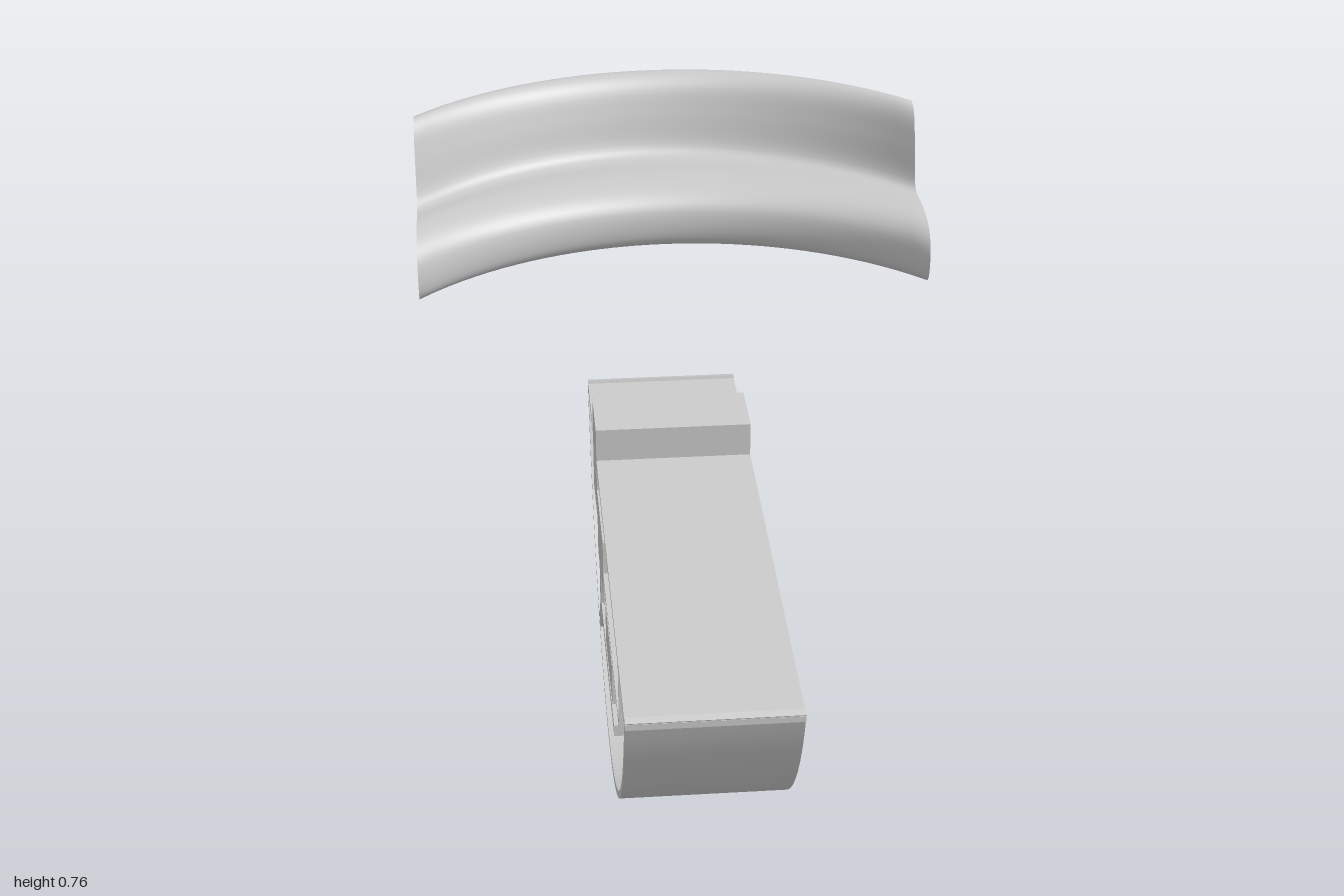
import * as THREE from 'three';
import { toCreasedNormals } from 'three/addons/utils/BufferGeometryUtils.js';

const material = new THREE.MeshStandardMaterial({ color: 0xcccccc, side: THREE.DoubleSide });
const LEFT = 0.09, WIDTH = 0.287;

// Extrudes a [z, y] outline across the width of the pod.
function slab(name, points) {
  const shape = new THREE.Shape(points.map(([z, y]) => new THREE.Vector2(z, y)));
  const extruded = new THREE.ExtrudeGeometry(shape, { depth: WIDTH, bevelEnabled: false });
  extruded.rotateY(-Math.PI / 2).translate(LEFT, 0, 0);
  const mesh = new THREE.Mesh(toCreasedNormals(extruded, 0.6), material);
  mesh.name = name;
  return mesh;
}

const block = (name, z0, z1, y0, y1) => slab(name, [[z0, y0], [z1, y0], [z1, y1], [z0, y1]]);

// Points on a circular arc in the z-y plane, angles measured from straight down.
function arc(cz, cy, r, a0, a1, n) {
  return Array.from({ length: n + 1 }, (_, i) => {
    const a = a0 + (a1 - a0) * i / n;
    return [cz + r * Math.sin(a), cy - r * Math.cos(a)];
  });
}

// Half-round pod, open at both sides, with its fittings
function createPod() {
  const pod = new THREE.Group();
  pod.name = 'pod';
  const R = 0.606, cz = 0.42, cy = 0.611, end = 1.276;
  pod.add(
    slab('shell', [...arc(cz, cy, R, -end, end, 32), ...arc(cz, cy, R - 0.013, end, -end, 32)]),
    block('topPlate', -0.16, 1, 0.422, 0.433),
    block('upperBlock', 0.035, 0.16, 0.31, 0.497),
    block('middleBlock', 0.16, 0.35, 0.238, 0.37),
    block('smallBlock', 0.41, 0.61, 0.2, 0.282),
    block('compartmentFloor', 0.33, 0.822, 0.297, 0.305),
    block('compartmentEnd', 0.814, 0.822, 0.297, 0.428),
    block('shelf', 0.23, 0.65, 0.16, 0.182),
    slab('elbow', [[0.255, 0.24], [0.255, 0.17], [0.245, 0.135], [0.225, 0.108], [0.175, 0.075],
      [0.15, 0.095], [0.185, 0.125], [0.205, 0.16], [0.207, 0.24]])
  );

  // Balls lining the shell and the compartment
  const ball = new THREE.SphereGeometry(0.049, 24, 16);
  const spots = [[0.9, 0.35], [0.725, 0.37], [0.585, 0.37], [0.44, 0.365], [0.835, 0.245], [0.725, 0.175],
    [0.575, 0.105], [0.44, 0.095], [0.305, 0.1], [0.14, 0.175], [0.035, 0.245], [-0.035, 0.36]];
  for (const [z, y] of spots) {
    const mesh = new THREE.Mesh(ball, material);
    mesh.name = 'ball';
    mesh.position.set(0, y, z);
    pod.add(mesh);
  }
  return pod;
}

// Curved bench: one seat-and-back profile carried along a bowed line, rounded at its ends
function createBench() {
  const profile = [[-0.465, 0.476], [-0.442, 0.5], [-0.442, 0.565], [-0.475, 0.595], [-0.55, 0.606],
    [-0.635, 0.604], [-0.655, 0.62], [-0.675, 0.69], [-0.695, 0.745], [-0.72, 0.765], [-0.75, 0.763],
    [-0.768, 0.74], [-0.775, 0.65], [-0.767, 0.55], [-0.745, 0.485], [-0.715, 0.47], [-0.6, 0.47]];
  const curve = new THREE.CatmullRomCurve3(profile.map(([z, y]) => new THREE.Vector3(0, y, z)), true);
  const ring = curve.getPoints(80).slice(0, -1);
  const center = new THREE.Vector3(0, 0.56, -0.7);

  // Stations across the bench: position and scale of the profile
  const stations = [[-0.5, 0.9], [-0.512, 0.95], [-0.522, 0.985], [-0.526, 1]].map(([x, s]) => [x, s]);
  for (let i = 1; i < 36; i++) stations.push([-0.526 + 1.052 * i / 36, 1]);
  for (const [x, s] of stations.slice(0, 4).reverse()) stations.push([-x, s]);

  const bow = x => 0.726 - Math.sqrt(0.726 ** 2 - x * x) - 0.225;
  const position = [], index = [], n = ring.length, last = stations.length - 1;
  stations.forEach(([x, s], i) => {
    for (const p of ring) {
      const q = p.clone().sub(center).multiplyScalar(s).add(center);
      position.push(x, q.y, q.z + bow(x));
    }
    if (i === last) return;
    for (let j = 0; j < n; j++) {
      const a = i * n + j, b = i * n + (j + 1) % n;
      index.push(a, a + n, b, b, a + n, b + n);
    }
  });

  // End caps
  const cap = position.length / 3;
  for (const x of [stations[0][0], stations[last][0]]) position.push(x, center.y, center.z + bow(x));
  for (let j = 0; j < n; j++) {
    const k = (j + 1) % n;
    index.push(cap, j, k, cap + 1, last * n + k, last * n + j);
  }

  const geometry = new THREE.BufferGeometry();
  geometry.setAttribute('position', new THREE.Float32BufferAttribute(position, 3));
  geometry.setIndex(index);
  geometry.computeVertexNormals();
  const mesh = new THREE.Mesh(geometry, material);
  mesh.name = 'curvedBench';
  return mesh;
}

export function createModel() {
  const model = new THREE.Group();
  model.name = 'podAndBench';
  model.add(createPod(), createBench());
  return model;
}
